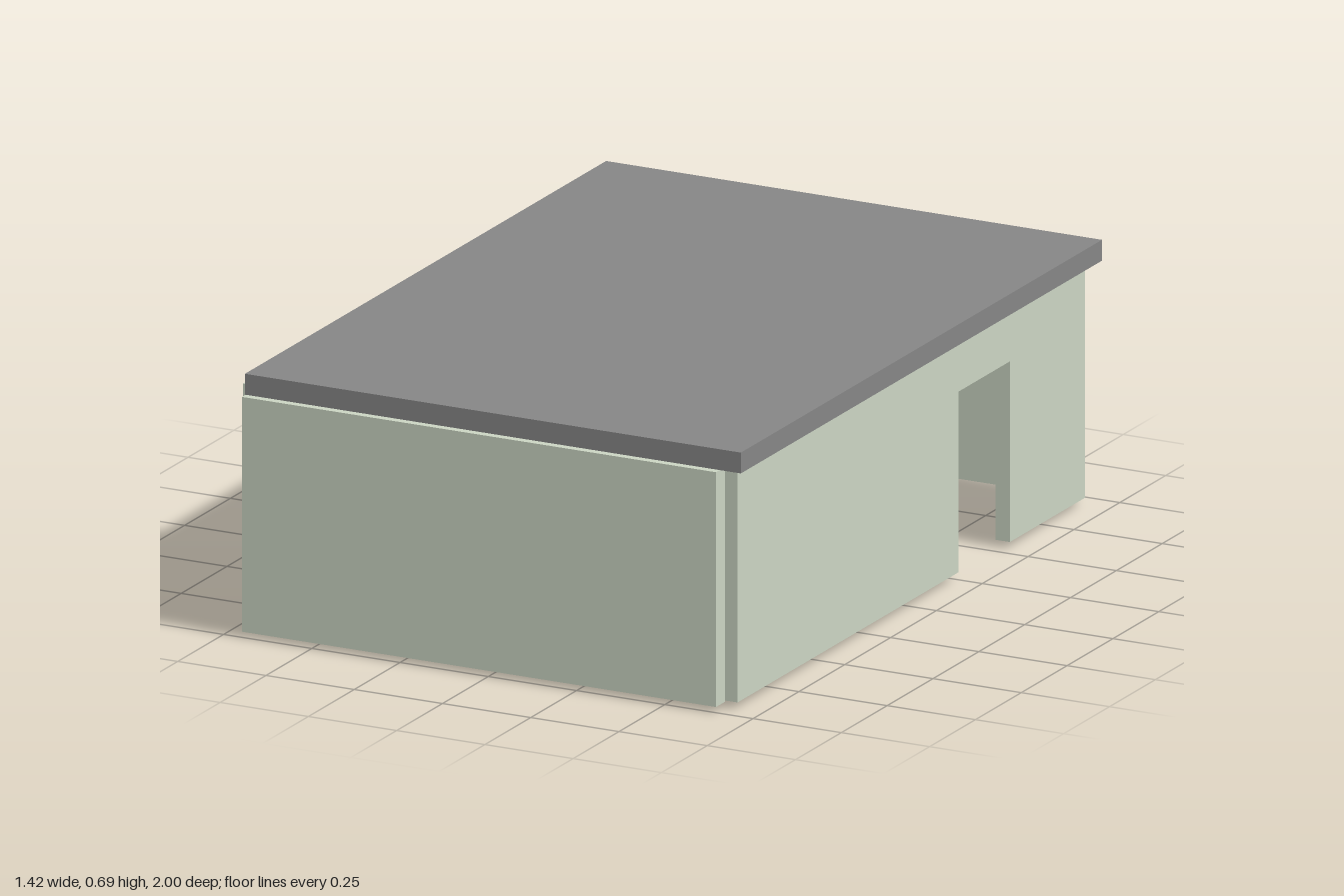
import * as THREE from 'three';

const paint = (color) => new THREE.MeshStandardMaterial({ color });
const grey = paint(0xcccccc);
const wallPaint = paint(0xcad4c2);
const roofPaint = paint(0x858585);

// Box given by its min and max on each axis
function box(parent, name, [x0, x1], [y0, y1], [z0, z1], mat = grey) {
  const mesh = new THREE.Mesh(new THREE.BoxGeometry(x1 - x0, y1 - y0, z1 - z0), mat);
  mesh.position.set((x0 + x1) / 2, (y0 + y1) / 2, (z0 + z1) / 2);
  mesh.name = name;
  parent.add(mesh);
  return mesh;
}

function group(parent, name) {
  const g = new THREE.Group();
  g.name = name;
  parent.add(g);
  return g;
}

// Four square legs at the corners of a rectangle
function legs(parent, xs, ys, zs, t) {
  for (const x of xs) for (const z of zs)
    box(parent, 'leg', [x - t, x + t], ys, [z - t, z + t]);
}

// Wall in the yz plane with one rectangular opening
function sideWall(parent, name, xs, [y0, y1], [z0, z1], [oy0, oy1], [oz0, oz1]) {
  const s = new THREE.Shape();
  s.moveTo(-z1, y0).lineTo(-z0, y0).lineTo(-z0, y1).lineTo(-z1, y1).closePath();
  const h = new THREE.Path();
  h.moveTo(-oz1, oy0).lineTo(-oz1, oy1).lineTo(-oz0, oy1).lineTo(-oz0, oy0).closePath();
  s.holes.push(h);
  const geo = new THREE.ExtrudeGeometry(s, { depth: xs[1] - xs[0], bevelEnabled: false });
  geo.rotateY(Math.PI / 2).translate(xs[0], 0, 0);
  const mesh = new THREE.Mesh(geo, wallPaint);
  mesh.name = name;
  parent.add(mesh);
}

function buildWindow(parent) {
  const w = group(parent, 'window');
  const y0 = 0.21, y1 = 0.59, z0 = -0.285, z1 = 0.28, t = 0.025;
  const depth = [-0.715, -0.655];
  box(w, 'windowSill', depth, [y0, y0 + t], [z0, z1]);
  box(w, 'windowHead', depth, [y1 - t, y1], [z0, z1]);
  for (const z of [z0, z1 - t]) box(w, 'windowJamb', depth, [y0 + t, y1 - t], [z, z + t]);
  const mid = (z0 + z1) / 2;
  box(w, 'mullion', [-0.71, -0.66], [y0 + t, y1 - t], [mid - 0.025, mid + 0.025]);
  box(w, 'glass', [-0.69, -0.684], [y0 + t, y1 - t], [z0 + t, z1 - t], paint(0xb4b4b8));
  // Glazing bars of the two sashes
  for (const c of [(z0 + t + mid - 0.025) / 2, (z1 - t + mid + 0.025) / 2]) {
    box(w, 'glazingBar', [-0.7, -0.674], [y0 + t, y1 - t], [c - 0.006, c + 0.006]);
    for (const k of [1, 2]) {
      const y = y0 + t + (k * (y1 - y0 - 2 * t)) / 3;
      box(w, 'glazingBar', [-0.7, -0.674], [y - 0.006, y + 0.006], [c - 0.115, c + 0.115]);
    }
  }
}

function buildBed(parent) {
  const bed = group(parent, 'bed');
  const xs = [-0.335, -0.02], zs = [-0.91, -0.285];
  legs(bed, [-0.33, -0.025], [0, 0.14], [-0.905, -0.29], 0.006);
  box(bed, 'bedBase', xs, [0.075, 0.09], zs);
  box(bed, 'mattress', [-0.325, -0.03], [0.09, 0.125], [-0.9, -0.295]);
  for (const z of zs) box(bed, 'endRail', xs, [0.13, 0.142], [z - 0.005, z + 0.005]);
  // Rumpled blanket, drooping at its edges
  const geo = new THREE.PlaneGeometry(0.32, 0.42, 16, 20).rotateX(-Math.PI / 2);
  const p = geo.attributes.position;
  for (let i = 0; i < p.count; i++) {
    const x = p.getX(i), z = p.getZ(i);
    const droop = 0.05 * Math.pow(Math.abs(x) / 0.16, 8);
    p.setY(i, 0.145 + 0.012 * Math.sin(z * 24 + x * 14) - droop);
  }
  geo.computeVertexNormals();
  const blanket = new THREE.Mesh(geo, new THREE.MeshStandardMaterial({ color: 0xcccccc, side: THREE.DoubleSide }));
  blanket.position.set(-0.177, 0, -0.51);
  blanket.name = 'blanket';
  bed.add(blanket);
  const pillow = new THREE.Mesh(new THREE.SphereGeometry(1, 20, 12), grey);
  pillow.scale.set(0.12, 0.028, 0.07);
  pillow.position.set(-0.177, 0.145, -0.81);
  pillow.name = 'pillow';
  bed.add(pillow);
}

function buildDrawers(parent) {
  const d = group(parent, 'drawerCabinet');
  const xs = [-0.655, -0.49], z0 = -0.9, z1 = -0.44;
  box(d, 'cabinetBody', xs, [0.06, 0.33], [z0, z1]);
  for (let i = 0; i < 3; i++)
    box(d, 'drawerFront', [-0.49, -0.48], [0.078 + i * 0.085, 0.158 + i * 0.085], [z0 + 0.005, z1 - 0.005]);
  box(d, 'upperPanel', [-0.655, -0.62], [0.33, 0.52], [z0, z1]);
  // Plinth frame, open in the middle
  for (const z of [z0, z1 - 0.02]) box(d, 'plinth', xs, [0.02, 0.06], [z, z + 0.02]);
  for (const x of [xs[0], xs[1] - 0.02]) box(d, 'plinth', [x, x + 0.02], [0.02, 0.06], [z0, z1]);
}

function buildDesk(parent) {
  const desk = group(parent, 'desk');
  box(desk, 'deskTop', [-0.655, -0.44], [0.185, 0.2], [-0.38, 0.02]);
  for (const z of [-0.33, -0.04]) {
    box(desk, 'deskPost', [-0.565, -0.545], [0.03, 0.185], [z - 0.01, z + 0.01]);
    box(desk, 'deskFoot', [-0.64, -0.46], [0.015, 0.03], [z - 0.012, z + 0.012]);
  }
  box(desk, 'stretcher', [-0.56, -0.55], [0.07, 0.085], [-0.33, -0.04]);
}

function buildChair(parent) {
  const chair = group(parent, 'chair');
  legs(chair, [-0.55, -0.46], [0.015, 0.11], [0.04, 0.13], 0.006);
  box(chair, 'seat', [-0.56, -0.45], [0.11, 0.122], [0.03, 0.14]);
  box(chair, 'backrest', [-0.56, -0.45], [0.16, 0.23], [0.13, 0.14]);
  for (const x of [-0.555, -0.463]) box(chair, 'backPost', [x, x + 0.008], [0.122, 0.16], [0.131, 0.139]);
}

function buildBench(parent) {
  const bench = group(parent, 'wallBench');
  box(bench, 'benchBody', [0.45, 0.64], [0.11, 0.19], [-0.04, 0.52], roofPaint);
  // Shallow tray with a raised rim on its underside
  box(bench, 'trayTop', [0.45, 0.64], [0.13, 0.19], [0.52, 0.95]);
  for (const x of [0.45, 0.62]) box(bench, 'trayRim', [x, x + 0.02], [0.1, 0.13], [0.52, 0.95]);
  for (const z of [0.52, 0.93]) box(bench, 'trayRim', [0.45, 0.64], [0.1, 0.13], [z, z + 0.02]);
}

export function createModel() {
  const house = new THREE.Group();
  house.name = 'house';

  // Shell, open underneath
  box(house, 'roof', [-0.7, 0.705], [0.635, 0.69], [-0.99, 0.98], roofPaint);
  box(house, 'frontWall', [-0.698, 0.645], [0.015, 0.635], [0.95, 1], wallPaint);
  box(house, 'backWall', [-0.698, 0.645], [0.015, 0.635], [-0.998, -0.945], wallPaint);
  sideWall(house, 'windowWall', [-0.71, -0.66], [0.022, 0.634], [-1, 0.97], [0.21, 0.59], [-0.285, 0.28]);
  box(house, 'windowWallCap', [-0.71, -0.701], [0.634, 0.66], [-1, 0.97], wallPaint);

  // Wall with the doorway
  const doorWall = group(house, 'doorWall');
  const xs = [0.64, 0.68];
  box(doorWall, 'doorWallFront', xs, [0.018, 0.635], [-0.255, 0.95], wallPaint);
  box(doorWall, 'doorWallBack', xs, [0.018, 0.635], [-0.945, -0.535], wallPaint);
  box(doorWall, 'doorLintel', xs, [0.495, 0.635], [-0.535, -0.255], wallPaint);

  buildWindow(house);
  buildBed(house);
  buildDrawers(house);
  buildDesk(house);
  buildChair(house);
  buildBench(house);
  return house;
}
